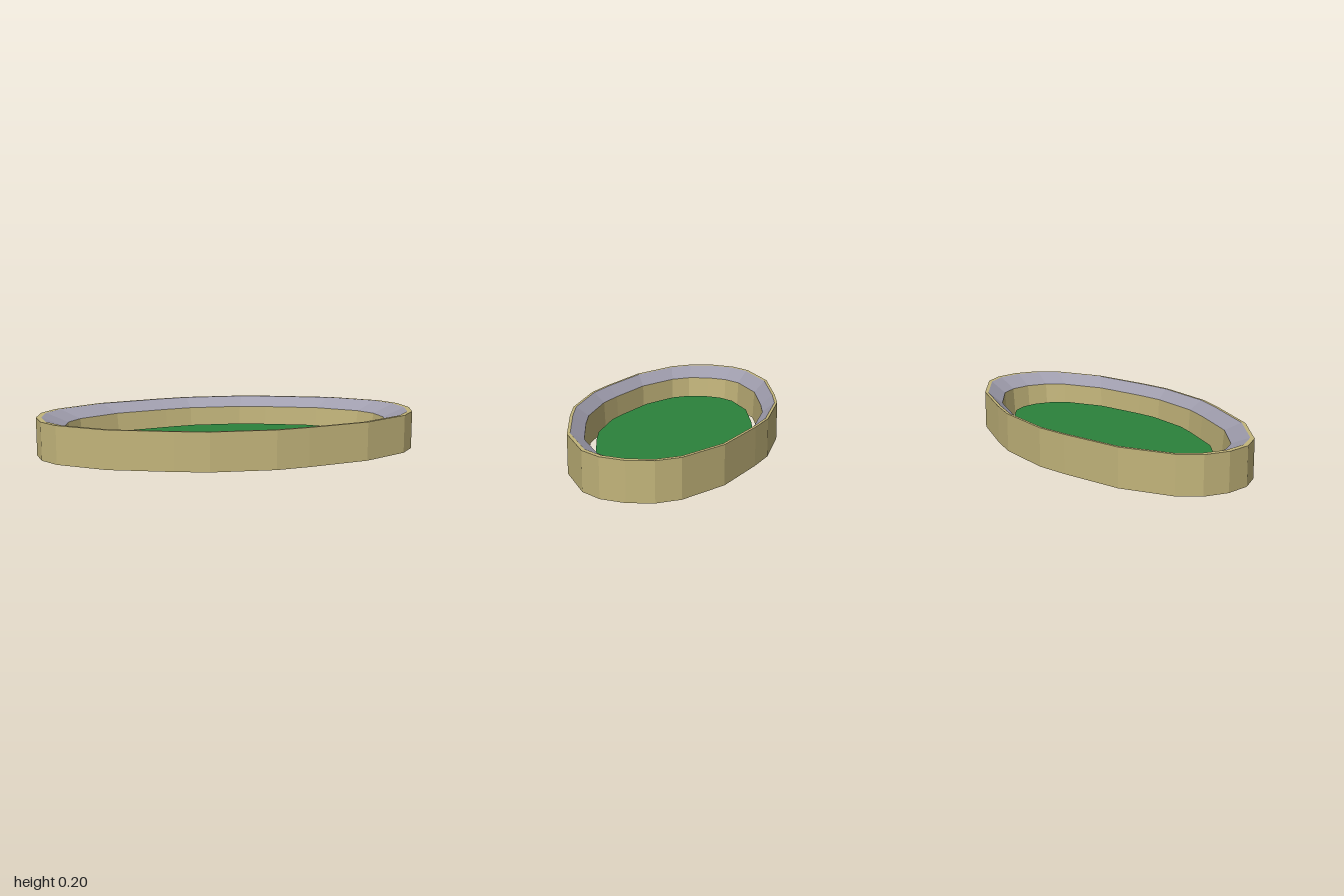
import * as THREE from 'three';

// One quadrant of the oval plan, from the long end to the short side
const QUADRANT = [[1, 0], [0.975, 0.13], [0.9, 0.235], [0.66, 0.385], [0.335, 0.478], [0.165, 0.515]];

// Mirror the quadrant into the full closed outline
function ovalOutline() {
  const half = [...QUADRANT, ...QUADRANT.slice().reverse().map(([x, z]) => [-x, z])];
  const otherHalf = half.slice(1, -1).reverse().map(([x, z]) => [x, -z]);
  return [...half, ...otherHalf];
}

// Surface through scaled copies of the outline; profile holds [scale, height]
function loftOval(outline, profile) {
  const n = outline.length;
  const positions = [];
  const index = [];
  for (const [s, y] of profile) {
    for (const [x, z] of outline) positions.push(x * s, y, z * s);
  }
  for (let i = 0; i < profile.length - 1; i++) {
    for (let j = 0; j < n; j++) {
      const k = (j + 1) % n;
      const a = i * n + j, b = i * n + k;
      index.push(a, a + n, b, b, a + n, b + n);
    }
  }
  const geometry = new THREE.BufferGeometry();
  geometry.setAttribute('position', new THREE.Float32BufferAttribute(positions, 3));
  geometry.setIndex(index);
  const flat = geometry.toNonIndexed();
  flat.computeVertexNormals();
  return flat;
}

export function createModel() {
  const group = new THREE.Group();
  group.name = 'stadium';
  const outline = ovalOutline();

  const material = (color) =>
    new THREE.MeshStandardMaterial({ color, flatShading: true, side: THREE.DoubleSide });
  const add = (name, geometry, color) => {
    const mesh = new THREE.Mesh(geometry, material(color));
    mesh.name = name;
    group.add(mesh);
    return mesh;
  };
  const sand = 0xc2b47a;

  // Outer wall with its narrow top rim
  add('outerWall', loftOval(outline, [[1, 0], [1, 0.2], [0.973, 0.2]]), sand);

  // Sloping ring of stands
  add('stands', loftOval(outline, [[0.973, 0.2], [0.855, 0.15]]), 0x9e9cac);

  // Inner wall down to the ground, and the underside of the ring
  add('innerWall', loftOval(outline, [[0.855, 0.15], [0.84, 0]]), sand);
  add('underside', loftOval(outline, [[0.84, 0], [1, 0]]), sand);

  // Flat playing field, separated from the ring by a gap
  const shape = new THREE.Shape(outline.map(([x, z]) => new THREE.Vector2(x * 0.76, z * 0.76)));
  const field = add('field', new THREE.ShapeGeometry(shape).rotateX(-Math.PI / 2), 0x2b823b);
  field.position.y = 0.06;

  return group;
}
